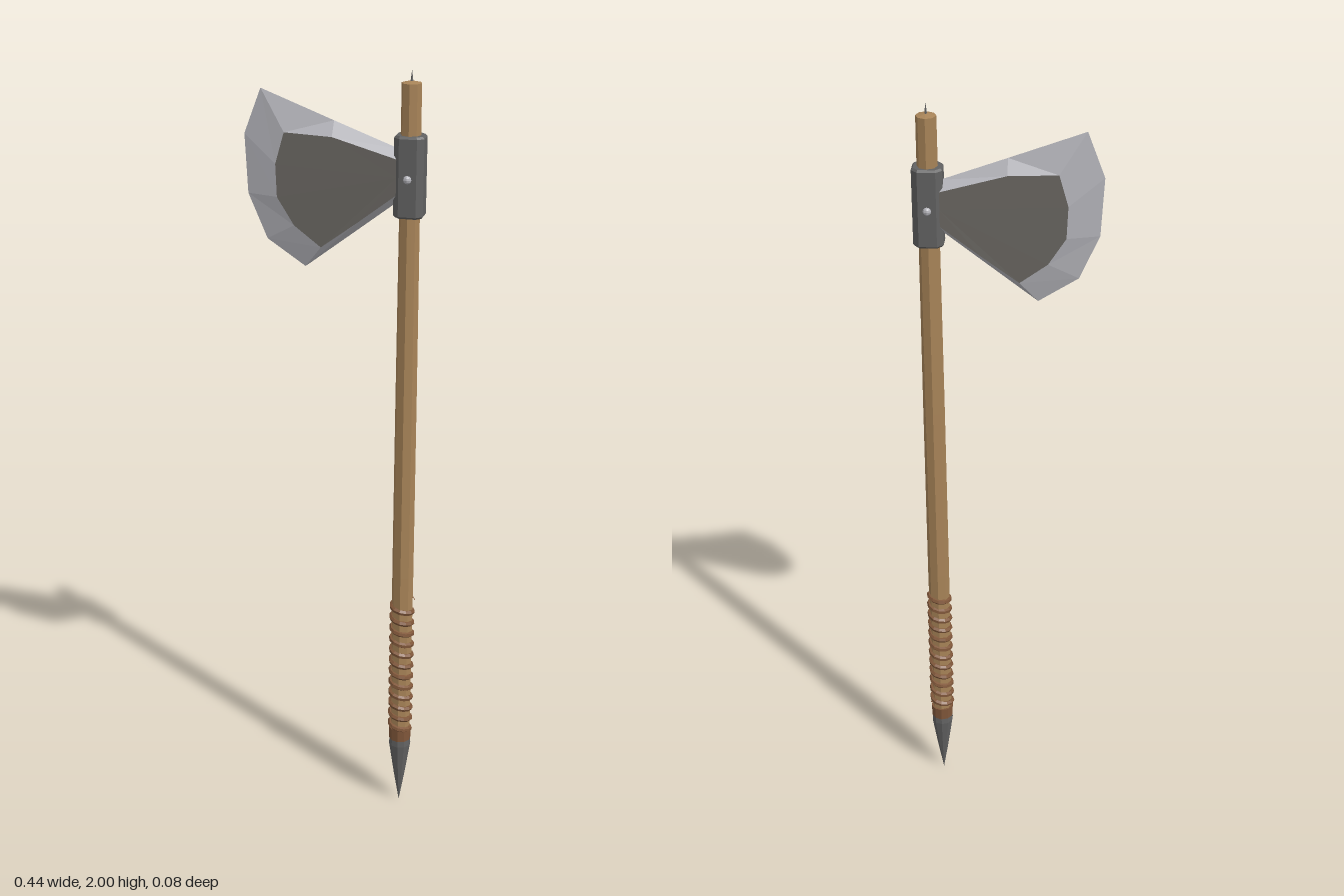
import * as THREE from 'three';

const AXIS = 0.185; // x of the shaft
const mat = (color) => new THREE.MeshStandardMaterial({ color, flatShading: true });

export function createModel() {
  const model = new THREE.Group();
  const wood = mat(0xa88458), leather = mat(0x80573a);
  const iron = mat(0x626262), cheekIron = mat(0x6a6762), steel = mat(0xb4b4ba);

  const add = (name, geometry, material, x = 0, y = 0, z = 0) => {
    const mesh = new THREE.Mesh(geometry, material);
    mesh.name = name;
    mesh.position.set(x, y, z);
    model.add(mesh);
    return mesh;
  };
  const lathe = (points, sides) =>
    new THREE.LatheGeometry(points.map(([r, y]) => new THREE.Vector2(r, y)), sides);

  // Eight-sided shaft with a shallow pointed end, and a small pin on top
  add('shaft', lathe([[0, 0.19], [0.026, 0.19], [0.028, 0.7], [0.027, 1.2], [0.024, 1.97], [0, 1.975]], 8), wood, AXIS);
  add('topPin', new THREE.ConeGeometry(0.004, 0.03, 6), iron, AXIS, 1.985);

  // Iron spike at the foot
  add('footSpike', lathe([[0, 0], [0.015, 0.09], [0.029, 0.185], [0.028, 0.205], [0, 0.205]], 10), iron, AXIS);

  // Leather grip: collar and helical cord
  add('gripCollar', new THREE.CylinderGeometry(0.03, 0.029, 0.035, 10), leather, AXIS, 0.22);
  const turns = 12, cord = [];
  for (let i = 0; i <= turns * 12; i++) {
    const a = (i / 12) * Math.PI * 2;
    cord.push(new THREE.Vector3(Math.cos(a) * 0.0265, 0.235 + (0.39 * i) / (turns * 12), Math.sin(a) * 0.0265));
  }
  add('gripCord', new THREE.TubeGeometry(new THREE.CatmullRomCurve3(cord), turns * 12, 0.0075, 6), leather, AXIS);

  // Chamfered socket around the shaft
  const w = 0.035, d = 0.031, c = 0.014;
  const section = new THREE.Shape([
    [w, -d + c], [w, d - c], [w - c, d], [-w + c, d], [-w, d - c], [-w, -d + c], [-w + c, -d], [w - c, -d],
  ].map(([x, y]) => new THREE.Vector2(x, y)));
  const socket = new THREE.ExtrudeGeometry(section, {
    depth: 0.185, bevelThickness: 0.005, bevelSize: 0.004, bevelOffset: -0.003, bevelSegments: 1,
  });
  socket.rotateX(-Math.PI / 2);
  add('socket', socket, iron, AXIS, 1.66);

  // Rivets on both sides of the socket
  for (const s of [1, -1]) {
    const rivet = add('rivet', new THREE.SphereGeometry(0.01, 8, 6), steel, AXIS, 1.75, s * 0.032);
    rivet.scale.z = 0.85;
  }

  // Blade: a thin rim on the centre plane, bevelled out to two thick cheeks
  const rim = [[0.158, 1.815], [0.0, 1.873], [-0.18, 1.94], [-0.222, 1.83], [-0.215, 1.685],
    [-0.168, 1.575], [-0.072, 1.512], [0.06, 1.614], [0.158, 1.69]];
  const cheek = [[0.158, 1.795, 0.025], [0.0, 1.838, 0.022], [-0.118, 1.842, 0.02], [-0.14, 1.765, 0.02],
    [-0.137, 1.685, 0.02], [-0.095, 1.618, 0.02], [-0.028, 1.568, 0.02], [0.06, 1.634, 0.023], [0.158, 1.71, 0.025]];
  const bevelFaces = [], cheekFaces = [];
  for (const s of [1, -1]) {
    const put = (list, p, q, r) => {
      for (const [x, y, z = 0] of s > 0 ? [p, q, r] : [p, r, q]) list.push(x, y, s * z);
    };
    for (let i = 0; i < rim.length - 1; i++) {
      put(bevelFaces, rim[i], rim[i + 1], cheek[i + 1]);
      put(bevelFaces, rim[i], cheek[i + 1], cheek[i]);
      put(cheekFaces, [0.158, 1.752, 0.025], cheek[i], cheek[i + 1]);
    }
  }
  const surface = (list) => {
    const g = new THREE.BufferGeometry();
    g.setAttribute('position', new THREE.Float32BufferAttribute(list, 3));
    g.computeVertexNormals();
    return g;
  };
  add('bladeBevel', surface(bevelFaces), steel);
  add('bladeCheeks', surface(cheekFaces), cheekIron);

  return model;
}
